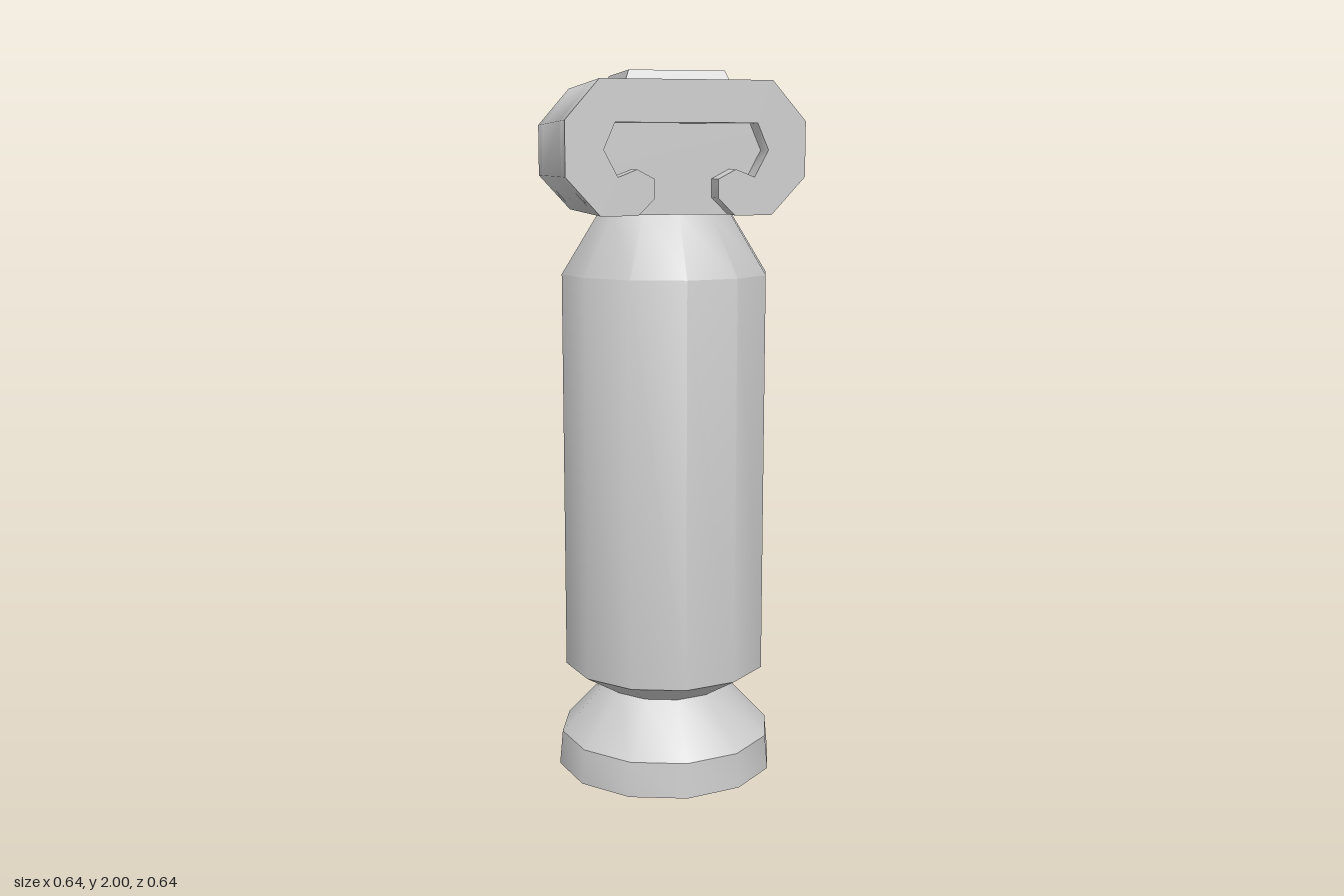
import * as THREE from 'three';
import { toCreasedNormals } from 'three/addons/utils/BufferGeometryUtils.js';

const material = new THREE.MeshStandardMaterial({ color: 0xcccccc });

function part(name, geometry) {
  const mesh = new THREE.Mesh(geometry, material);
  mesh.name = name;
  return mesh;
}

// Turned twelve-sided part, smooth around but creased at each ring
function turned(name, profile) {
  const points = profile.map(([r, y]) => new THREE.Vector2(r, y));
  return part(name, toCreasedNormals(new THREE.LatheGeometry(points, 12), 0.541));
}

// Section in the xy plane given by its +x half, mirrored and extruded along z
function extruded(name, half, z0, z1) {
  const mirrored = half.map(([x, y]) => [-x, y]).reverse();
  const shape = new THREE.Shape([...half, ...mirrored].map(([x, y]) => new THREE.Vector2(x, y)));
  const geometry = new THREE.ExtrudeGeometry(shape, { depth: z1 - z0, bevelEnabled: false });
  geometry.translate(0, 0, z0);
  return part(name, toCreasedNormals(geometry, 0.9));
}

export function createModel() {
  const model = new THREE.Group();

  // Foot flaring out below the narrow neck
  model.add(turned('foot', [[0, 0], [0.318, 0], [0.309, 0.1], [0.18, 0.24], [0, 0.24]]));

  // Long shaft tapering at both ends
  model.add(turned('shaft', [[0, 0.24], [0.18, 0.24], [0.295, 0.31], [0.295, 1.45], [0.19, 1.62], [0, 1.62]]));

  // Head: solid octagonal core, with a hooked channel recessed into each end
  const head = new THREE.Group();
  head.name = 'head';
  const outer = [[0.23, 1.62], [0.321, 1.72], [0.321, 1.865], [0.23, 1.97]];
  const channel = [[0.19, 1.86], [0.22, 1.79], [0.183, 1.72], [0.132, 1.74],
    [0.085, 1.715], [0.085, 1.665], [0.13, 1.62]];
  const end = 0.288, inner = end - 0.08;
  head.add(extruded('headCore', outer, -inner, inner));
  const rim = [...channel, ...outer];
  head.add(extruded('frontRim', rim, inner, end));
  head.add(extruded('backRim', rim, -end, -inner));
  model.add(head);

  // Raised pad on top with sloping sides
  const pad = new THREE.BoxGeometry(0.286, 0.03, 0.355);
  const pos = pad.attributes.position;
  for (let i = 0; i < pos.count; i++) {
    if (pos.getY(i) > 0) {
      pos.setX(i, Math.sign(pos.getX(i)) * 0.131);
      pos.setZ(i, Math.sign(pos.getZ(i)) * 0.161);
    }
  }
  pad.computeVertexNormals();
  pad.translate(0, 1.985, 0);
  model.add(part('topPad', pad));

  return model;
}
